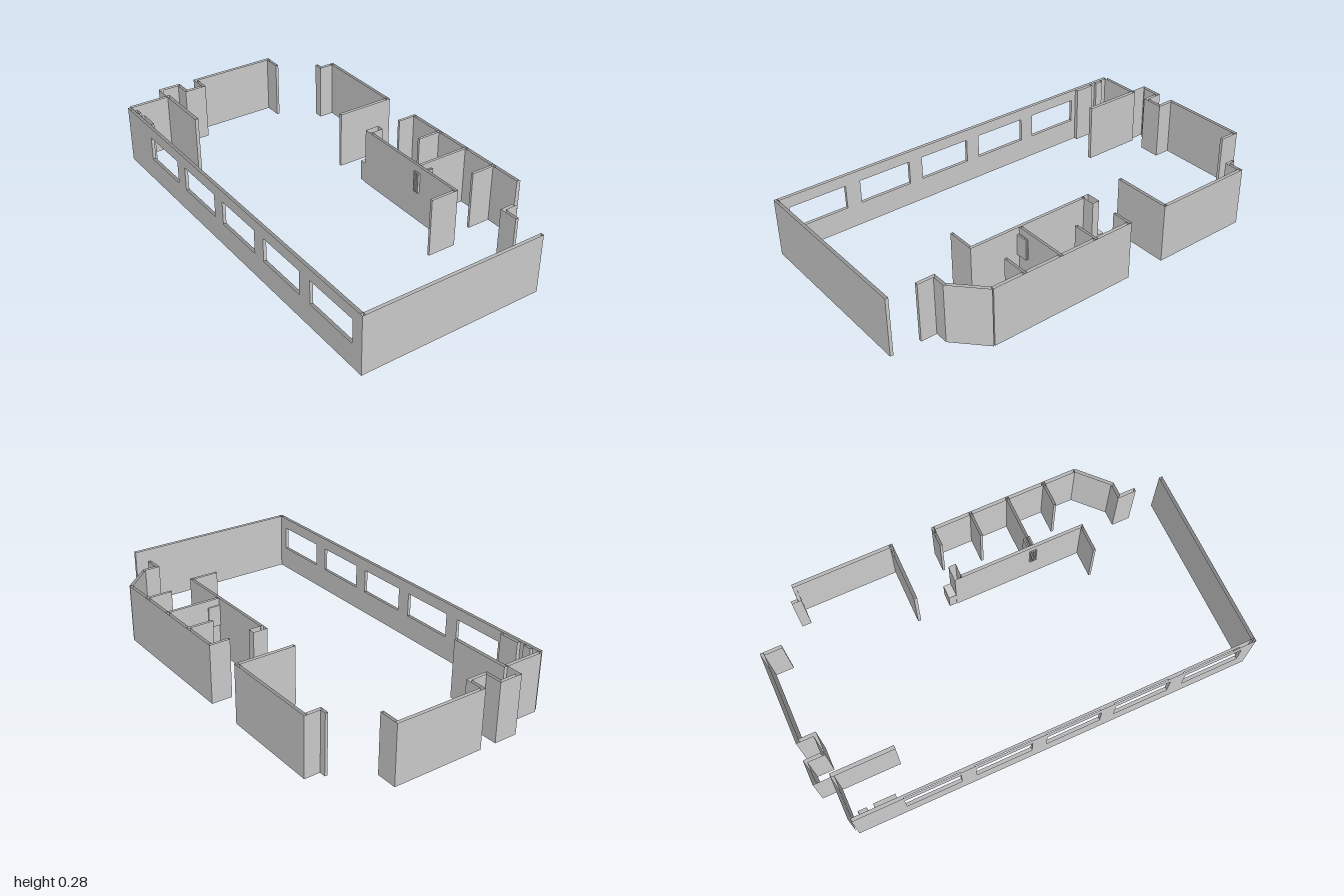
import * as THREE from 'three';

const H = 0.283; // wall height
const T = 0.015; // wall thickness
const material = new THREE.MeshStandardMaterial({ color: 0xcccccc, side: THREE.DoubleSide, flatShading: true });

function addMesh(group, name, geometry) {
  const mesh = new THREE.Mesh(geometry, material);
  mesh.name = name;
  group.add(mesh);
  return mesh;
}

// Upright sheets along a ground path of [x, z] points, without top or bottom
function sheets(group, name, points, closed = false, y0 = 0, y1 = H) {
  const pos = [];
  const count = closed ? points.length : points.length - 1;
  for (let i = 0; i < count; i++) {
    const [ax, az] = points[i];
    const [bx, bz] = points[(i + 1) % points.length];
    pos.push(ax, y0, az, bx, y0, bz, bx, y1, bz, ax, y0, az, bx, y1, bz, ax, y1, az);
  }
  const g = new THREE.BufferGeometry();
  g.setAttribute('position', new THREE.Float32BufferAttribute(pos, 3));
  g.computeVertexNormals();
  return addMesh(group, name, g);
}

// Hollow straight wall between two x and two z limits
function wall(group, name, x0, x1, z0, z1) {
  return sheets(group, name, [[x0, z1], [x1, z1], [x1, z0], [x0, z0]], true);
}

// Long wall with a row of windows: an outer and an inner skin
function windowWall(group) {
  const zBack = -0.91, zFront = 1, xOut = -0.545, xIn = xOut + T;
  const sill = 0.113, head = 0.228;
  const windows = [[0.66, 0.94], [0.32, 0.585], [-0.01, 0.25], [-0.345, -0.08], [-0.675, -0.415]];
  const rect = (Type, a, b, lo, hi) => {
    const s = new Type();
    s.moveTo(a, lo).lineTo(b, lo).lineTo(b, hi).lineTo(a, hi).closePath();
    return s;
  };
  const shape = rect(THREE.Shape, -zFront, -zBack, 0, H);
  for (const [a, b] of windows) shape.holes.push(rect(THREE.Path, -b, -a, sill, head));
  for (const [name, x] of [['windowWallOuter', xOut], ['windowWallInner', xIn]]) {
    const g = new THREE.ShapeGeometry(shape);
    g.rotateY(Math.PI / 2); // shape x becomes -z
    g.translate(x, 0, 0);
    addMesh(group, name, g);
  }
  for (const z of windows.flat()) sheets(group, 'windowJamb', [[xOut, z], [xIn, z]], false, sill, head);
  for (const z of [zBack, zFront]) sheets(group, 'windowWallEnd', [[xOut, z], [xIn, z]]);
}

export function createModel() {
  const model = new THREE.Group();
  model.name = 'floorPlanWalls';

  // Outer walls: windows on one side, plain front
  windowWall(model);
  wall(model, 'frontWall', -0.545, 0.345, 1 - T, 1);

  // Entrance jamb, angled corner and its inner skin
  sheets(model, 'entranceCorner', [
    [0.33, 0.855], [0.345, 0.855], [0.345, 0.78], [0.41, 0.78], [0.55, 0.648],
    [0.535, 0.642], [0.405, 0.765], [0.33, 0.765],
  ], true);

  // Side wall in bays, with a cross partition at each joint
  const joints = [0.648, 0.485, 0.3, 0.115, -0.072];
  for (let i = 0; i < joints.length - 1; i++)
    wall(model, 'sideWallBay', 0.55 - T, 0.55, joints[i + 1] + 0.005, joints[i] - 0.005);
  const partitionEnds = [0.42, 0.28, 0.42, 0.45];
  partitionEnds.forEach((x, i) =>
    wall(model, 'roomPartition', x, 0.55, joints[i + 1] - 0.006, joints[i + 1] + 0.006));
  wall(model, 'rearSideWall', 0.55 - T, 0.55, -0.76, -0.28);
  wall(model, 'sideDoorPartition', 0.26, 0.55, -0.287, -0.272);

  // Corridor wall with its return, shaft and low block
  wall(model, 'corridorWall', 0.267, 0.28, -0.055, 0.555);
  wall(model, 'corridorReturn', 0.14, 0.267, 0.543, 0.555);
  wall(model, 'shaft', 0.267, 0.338, -0.085, -0.05);
  const block = new THREE.BoxGeometry(0.065, 0.1, 0.036);
  block.translate(0.302, 0.05, -0.103);
  addMesh(model, 'lowBlock', block);

  // Small slatted shelf on the partition
  for (let i = 0; i < 4; i++) {
    const slat = new THREE.BoxGeometry(0.083, 0.1, 0.006);
    slat.translate(0.298, 0.2, 0.289 + i * 0.009);
    addMesh(model, 'slat', slat);
  }

  // Rear door: stub on one side, jamb on the other
  sheets(model, 'rearStub', [
    [0.55, -0.76], [0.475, -0.76], [0.475, -0.79], [0.462, -0.79], [0.462, -0.745], [0.535, -0.745],
  ]);
  wall(model, 'rearDoorJamb', 0.288, 0.302, -0.985, -0.9);

  // Rear wall with a stepped column recess
  sheets(model, 'rearWallOuter', [
    [0.302, -0.985], [0.302, -1], [-0.14, -1], [-0.14, -0.92], [-0.22, -0.92], [-0.22, -1],
    [-0.335, -1], [-0.335, -0.92], [-0.53, -0.92],
  ]);
  sheets(model, 'rearWallInner', [[0.288, -0.985], [-0.125, -0.985], [-0.125, -0.905], [-0.235, -0.905],
    [-0.235, -0.985], [-0.318, -0.985]]);
  sheets(model, 'rearCornerInner', [[-0.335, -0.905], [-0.53, -0.905]]);
  wall(model, 'rearPartition', -0.335, -0.318, -0.92, -0.625);

  // Shallow piers on the window wall beside the rear corner
  wall(model, 'windowWallPier', -0.53, -0.512, -0.8, -0.7);
  wall(model, 'cornerPier', -0.53, -0.515, -0.87, -0.83);

  return model;
}
